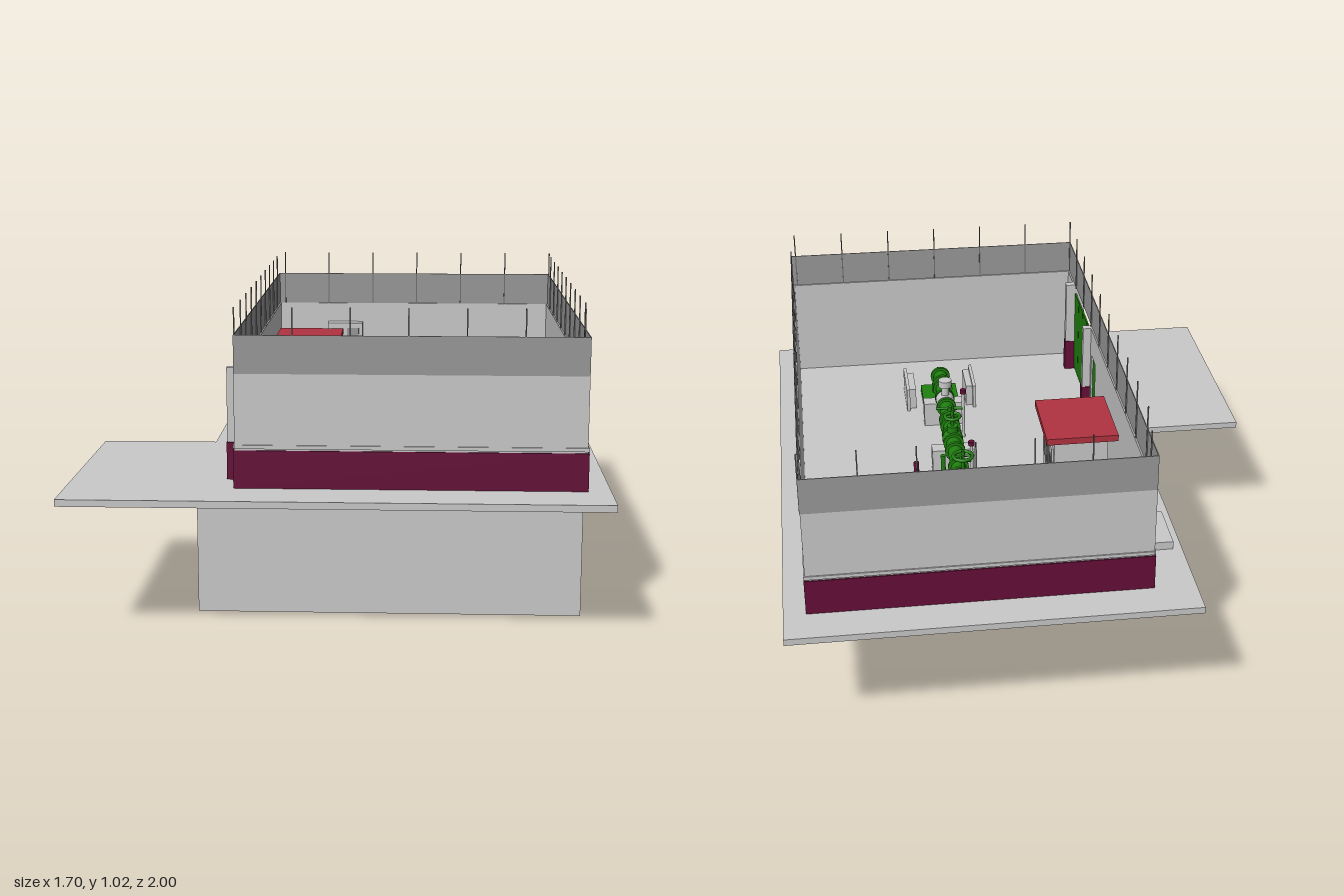
import * as THREE from 'three';

export function createModel() {
  const root = new THREE.Group();
  root.name = 'pumpingStation';
  const mat = (name, color, side = THREE.FrontSide) => {
    const m = new THREE.MeshStandardMaterial({ color, side });
    m.name = name;
    return m;
  };
  const concrete = mat('concrete grey', 0xcacaca);
  const fenceGrey = mat('fence grey', 0x999999, THREE.DoubleSide);
  const postGrey = mat('post grey', 0x707070);
  const maroon = mat('maroon', 0x660f38);
  const green = mat('green', 0x1f800f, THREE.DoubleSide);
  const red = mat('roof red', 0xb03340);

  const add = (name, geo, m, parent = root) => {
    const mesh = new THREE.Mesh(geo, m);
    mesh.name = name;
    parent.add(mesh);
    return mesh;
  };
  // box given by its limits on each axis
  const box = (name, m, x0, x1, y0, y1, z0, z1, parent = root) => {
    const mesh = add(name, new THREE.BoxGeometry(x1 - x0, y1 - y0, z1 - z0), m, parent);
    mesh.position.set((x0 + x1) / 2, (y0 + y1) / 2, (z0 + z1) / 2);
    return mesh;
  };
  // cylinder between two points
  const rod = (name, m, a, b, r, parent = root, sides = 20) => {
    const p = new THREE.Vector3(...a), q = new THREE.Vector3(...b);
    const d = q.clone().sub(p);
    const mesh = add(name, new THREE.CylinderGeometry(r, r, d.length(), sides), m, parent);
    mesh.position.copy(p).add(q).multiplyScalar(0.5);
    mesh.quaternion.setFromUnitVectors(new THREE.Vector3(0, 1, 0), d.normalize());
    return mesh;
  };
  const ball = (name, m, x, y, z, r) => {
    add(name, new THREE.SphereGeometry(r, 20, 14), m).position.set(x, y, z);
  };

  const G = 0.46, TOP = 0.82, FT = 0.94;
  const X0 = -0.32, X1 = 0.77, Z0 = -0.87, Z1 = 0.83, T = 0.008;

  // L-shaped ground slab
  const outline = [[-0.46, 1], [0.845, 1], [0.845, -1], [-0.85, -1], [-0.85, -0.16], [-0.46, -0.16]];
  const slabShape = new THREE.Shape(outline.map(([x, y]) => new THREE.Vector2(x, y)));
  const slabGeo = new THREE.ExtrudeGeometry(slabShape, { depth: 0.022, bevelEnabled: false });
  slabGeo.rotateX(-Math.PI / 2);
  add('groundSlab', slabGeo, concrete).position.y = G - 0.022;

  // underground chamber
  box('chamber', concrete, -0.46, 0.775, 0.01, 0.439, 0.35, 0.68);

  // walls, with maroon plinth plates and a thin ledge outside
  const P = 0.004;
  box('frontWall', concrete, X0, X1, G, TOP, Z1 - T, Z1);
  box('backWall', concrete, X0, X1, G, TOP, Z0, Z0 + T);
  box('rightSideWall', concrete, X1 - T, X1, G, TOP, Z0, Z1);
  box('frontPlinth', maroon, X0 - P, X1 + P, G, 0.58, Z1, Z1 + P);
  box('backPlinth', maroon, X0 - P, X1 + P, G, 0.58, Z0 - P, Z0);
  box('sidePlinth', maroon, X1, X1 + P, G, 0.58, Z0, Z1);
  box('frontLedge', concrete, X0, X1 + P, 0.585, 0.597, Z1, Z1 + P);
  box('backLedge', concrete, X0, X1 + P, 0.585, 0.597, Z0 - P, Z0);
  box('sideLedge', concrete, X1, X1 + P, 0.585, 0.597, Z0, Z1);
  for (const [a, b] of [[Z0, 0.19], [0.27, 0.3], [0.71, Z1]]) {
    box('gateWall', concrete, X0, X0 + T, G, TOP, a, b);
    box('gateWallPlinth', maroon, X0 - P, X0, G, 0.58, a, b);
    box('gateWallLedge', concrete, X0 - P, X0, 0.585, 0.597, a, b);
  }
  box('doorLintel', concrete, X0, X0 + T, 0.72, TOP, 0.19, 0.27);
  box('sideDoor', green, X0 - 0.004, X0 + 0.002, G, 0.72, 0.19, 0.27);

  // gate and its pillars
  for (const z of [0.305, 0.7]) {
    box('gatePillar', concrete, -0.355, -0.283, 0.58, TOP, z - 0.014, z + 0.014);
    box('pillarBase', maroon, -0.357, -0.281, G, 0.58, z - 0.016, z + 0.016);
  }
  for (let i = 0; i < 4; i++) {
    const z = 0.321 + i * 0.091;
    box('gateLeaf', green, X0 - 0.003, X0 + 0.003, G + 0.01, 0.785, z, z + 0.088);
  }

  // upper fence panels
  const panel = (x0, x1, z0, z1) => box('fencePanel', fenceGrey, x0, x1, TOP, FT, z0, z1);
  panel(X0, X1, Z1 - 0.003, Z1);
  panel(X0, X1, Z0, Z0 + 0.003);
  panel(X0, X0 + 0.003, Z0, Z1);
  panel(X1 - 0.003, X1, Z0, Z1);
  // fence posts
  const post = (x, z) => box('fencePost', postGrey, x - 0.002, x + 0.002, TOP, 1.025, z - 0.002, z + 0.002);
  for (let i = 0; i < 7; i++) {
    post(-0.317 + i * 0.178, Z1 - 0.005);
    post(-0.295 + i * 0.1775, Z0 + 0.005);
  }
  for (let i = 0; i < 9; i++) {
    post(X1 - 0.005, 0.67 - i * 0.1725);
    post(X0 + 0.005, 0.65 - i * 0.17);
  }

  // transformer cabinet with cooling fins on a plinth
  box('transformerPlinth', concrete, -0.43, -0.1, G, 0.488, -0.66, -0.47);
  box('transformer', green, -0.34, -0.18, 0.488, 0.7, -0.655, -0.475);
  for (let i = 0; i < 8; i++) {
    const z = -0.627 + i * 0.0165;
    box('coolingFin', green, -0.18, -0.155, 0.51, 0.66, z, z + 0.008);
  }

  // control kiosk with red roof
  box('kioskBody', concrete, -0.25, -0.07, G, 0.755, -0.41, -0.19);
  box('kioskRoof', red, -0.28, -0.04, 0.755, 0.777, -0.44, -0.16);
  for (let i = 0; i < 3; i++) {
    const z = -0.39 + i * 0.065;
    box('kioskDoor', concrete, -0.07, -0.064, 0.5, 0.71, z, z + 0.05);
    box('kioskVent', fenceGrey, -0.064, -0.061, 0.61, 0.68, z + 0.01, z + 0.04);
  }

  // wall boxes
  box('wallCabinet', concrete, -0.12, 0.02, 0.6, 0.745, Z0 + T, -0.81);
  for (const x of [-0.105, -0.042]) {
    box('cabinetWindow', fenceGrey, x, x + 0.047, 0.625, 0.725, -0.81, -0.806);
  }
  box('meterBox', concrete, -0.352, X0, 0.58, 0.69, -0.39, -0.31);
  box('meterWindow', fenceGrey, -0.355, -0.352, 0.61, 0.66, -0.37, -0.33);

  // main pipe: bends down to the chamber in front and through the slab behind
  const PX = 0.235, PY = 0.58, R = 0.026;
  const path = new THREE.CurvePath();
  const v = (y, z) => new THREE.Vector3(PX, y, z);
  path.add(new THREE.LineCurve3(v(0.04, 0.51), v(0.52, 0.51)));
  path.add(new THREE.QuadraticBezierCurve3(v(0.52, 0.51), v(PY, 0.51), v(PY, 0.45)));
  path.add(new THREE.LineCurve3(v(PY, 0.45), v(PY, -0.5)));
  path.add(new THREE.QuadraticBezierCurve3(v(PY, -0.5), v(PY, -0.55), v(0.545, -0.585)));
  path.add(new THREE.LineCurve3(v(0.545, -0.585), v(0.435, -0.695)));
  add('mainPipe', new THREE.TubeGeometry(path, 160, R, 20), green);
  rod('pipeEndFlange', green, [PX, 0.5, -0.63], [PX, 0.49, -0.64], 0.034);
  const hook = add('intakeElbow', new THREE.TorusGeometry(0.03, 0.012, 10, 20, Math.PI), green);
  hook.rotation.x = Math.PI / 2;
  hook.position.set(0.26, 0.012, 0.495);

  // flanges along the main pipe
  for (const z of [0.45, 0.385, 0.35, 0.27, 0.2, 0.1, 0.05, -0.01, -0.07, -0.13, -0.24, -0.3, -0.375, -0.44]) {
    rod('flange', green, [PX, PY, z - 0.006], [PX, PY, z + 0.006], 0.036);
  }
  // meter body
  rod('meterBody', concrete, [PX, PY, 0.215], [PX, PY, 0.265], 0.033);
  rod('meterNeck', concrete, [PX, PY, 0.24], [PX, 0.645, 0.24], 0.014);
  rod('meterHead', concrete, [PX, 0.645, 0.24], [PX, 0.67, 0.24], 0.024);

  // valves with handwheels
  const valve = (z, h, r) => {
    ball('valveBody', green, PX, PY, z, 0.037);
    rod('valveBonnet', green, [PX, PY, z], [PX, PY + h * 0.6, z], 0.02);
    rod('valveStem', green, [PX, PY, z], [PX, PY + h + 0.02, z], 0.006);
    const wheel = add('handwheel', new THREE.TorusGeometry(r, 0.006, 8, 24), green);
    wheel.rotation.x = Math.PI / 2;
    wheel.position.set(PX, PY + h, z);
    rod('wheelSpoke', green, [PX - r, PY + h, z], [PX + r, PY + h, z], 0.004, root, 8);
    rod('wheelSpoke', green, [PX, PY + h, z - r], [PX, PY + h, z + r], 0.004, root, 8);
  };
  valve(-0.41, 0.14, 0.032);
  valve(-0.04, 0.09, 0.026);
  rod('ventPipe', green, [PX, PY, 0.05], [PX, 0.66, 0.05], 0.008);
  rod('ventLever', green, [PX, 0.655, 0.05], [PX + 0.05, 0.655, 0.05], 0.005);

  // side branch with a maroon pump section
  const BZ = -0.345;
  rod('branchPipe', green, [PX, PY, BZ], [0.49, PY, BZ], R);
  ball('branchValve', green, 0.295, PY, BZ, 0.036);
  rod('branchStem', green, [0.295, PY, BZ], [0.295, 0.69, BZ], 0.008);
  rod('pumpBody', maroon, [0.345, PY, BZ], [0.435, PY, BZ], 0.031);
  for (const x of [0.335, 0.385, 0.435]) {
    rod('pumpFlange', maroon, [x - 0.006, PY, BZ], [x + 0.006, PY, BZ], 0.037);
  }
  rod('pumpStem', maroon, [0.385, PY, BZ], [0.385, 0.67, BZ], 0.009);
  ball('branchElbow', green, 0.49, PY, BZ, R + 0.002);
  rod('branchDrop', green, [0.49, PY, BZ], [0.49, G, BZ], R);

  // pipe supports with foot plates showing below the slab
  for (const z of [-0.27, -0.045, 0.31]) {
    box('supportBlock', concrete, 0.16, 0.31, G, 0.55, z - 0.025, z + 0.025);
    box('supportFoot', concrete, 0.165, 0.305, 0.432, 0.438, z - 0.025, z + 0.025);
  }
  // gauge rods running through the slab
  for (const [x, z, low] of [[0.175, 0.185, 0.375], [0.185, -0.2, 0.4]]) {
    rod('gaugeRod', concrete, [x, low + 0.03, z], [x, 0.64, z], 0.006, root, 10);
    rod('gaugeTip', maroon, [x, low, z], [x, low + 0.03, z], 0.004, root, 10);
    rod('gaugeArm', green, [x, PY, z], [PX, PY, z], 0.006, root, 10);
    rod('gaugeKnob', maroon, [x, 0.64, z], [x, 0.655, z], 0.011, root, 12);
  }

  // tapered anchor block behind
  const anchor = new THREE.BoxGeometry(0.205, 0.19, 0.185);
  const pos = anchor.attributes.position;
  for (let i = 0; i < pos.count; i++) {
    if (pos.getY(i) > 0) pos.setXYZ(i, pos.getX(i) * 0.7, pos.getY(i), pos.getZ(i) * 0.75);
  }
  anchor.computeVertexNormals();
  add('anchorBlock', anchor, concrete).position.set(PX, G + 0.095, -0.57);

  // shaft frame in front
  for (const s of [-1, 1]) {
    const x = PX + s * 0.113;
    box('shaftSide', concrete, x - 0.018, x + 0.018, G, 0.54, 0.43, 0.57);
    box('shaftRail', concrete, x + s * 0.012 - 0.006, x + s * 0.012 + 0.006, G, 0.55, 0.41, 0.59);
  }
  box('shaftCover', green, 0.168, 0.302, G, 0.485, 0.44, 0.57);
  return root;
}
